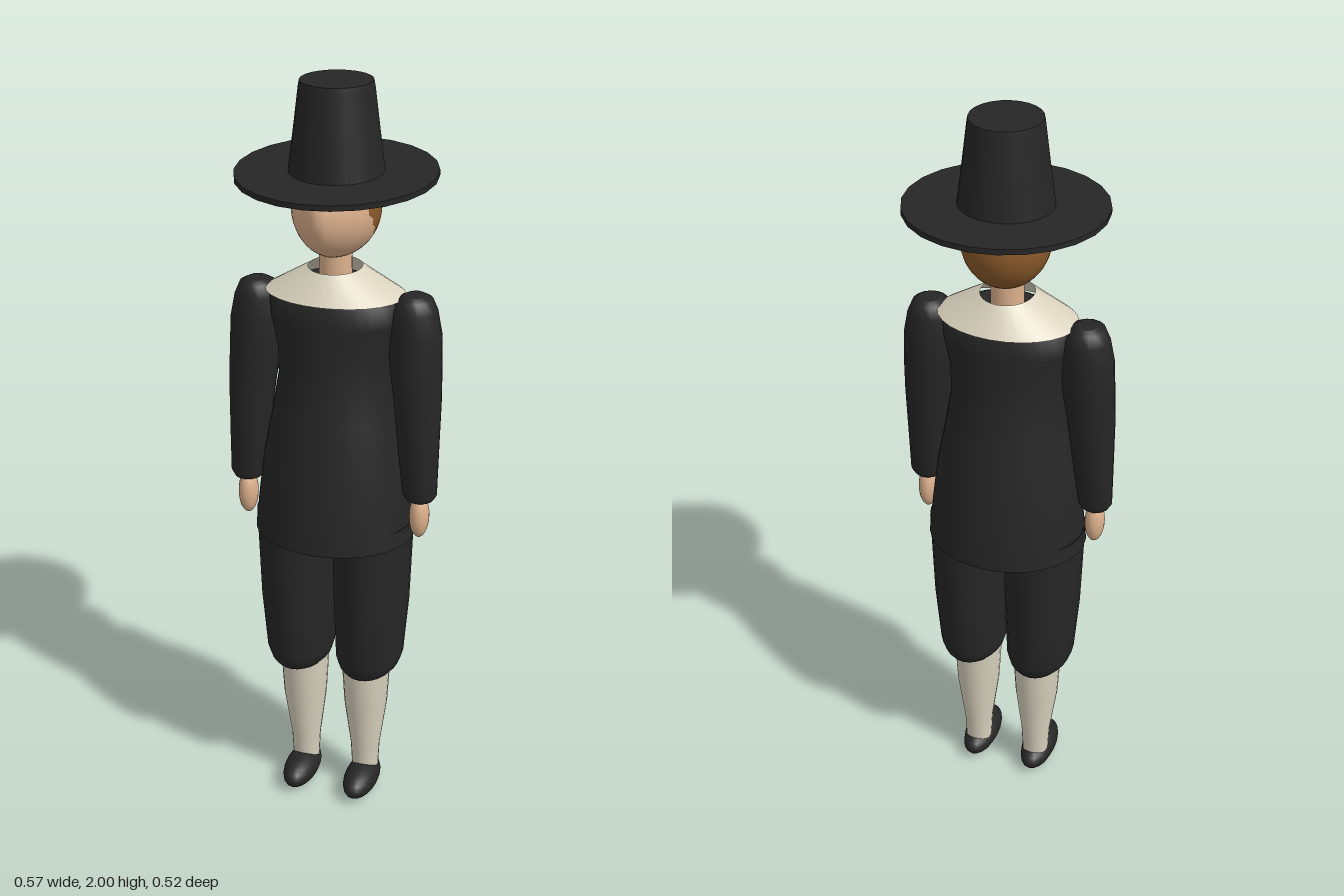
import * as THREE from 'three';

const material = (name, color, extra = {}) => {
  const m = new THREE.MeshStandardMaterial({ color, ...extra });
  m.name = name;
  return m;
};

// Stacks elliptical rings, bottom to top: [y, radiusX, radiusZ, centreX, centreZ]
function loft(rows, seg = 24, capped = true) {
  const pos = [], idx = [];
  const ring = ([y, rx, rz, cx = 0, cz = 0]) => {
    const start = pos.length / 3;
    for (let j = 0; j < seg; j++) {
      const a = (j / seg) * Math.PI * 2;
      pos.push(cx + Math.sin(a) * rx, y, cz + Math.cos(a) * rz);
    }
    return start;
  };
  const starts = rows.map(ring);
  for (let i = 0; i < rows.length - 1; i++) {
    for (let j = 0; j < seg; j++) {
      const k = (j + 1) % seg;
      const a = starts[i] + j, b = starts[i] + k, c = starts[i + 1] + j, d = starts[i + 1] + k;
      idx.push(a, b, c, b, d, c);
    }
  }
  // End caps get their own vertices so their edges stay sharp
  if (capped) {
    [[rows[0], false], [rows[rows.length - 1], true]].forEach(([row, up]) => {
      const s = ring(row);
      const centre = pos.length / 3;
      pos.push(row[3] || 0, row[0], row[4] || 0);
      for (let j = 0; j < seg; j++) {
        const k = (j + 1) % seg;
        if (up) idx.push(centre, s + j, s + k);
        else idx.push(centre, s + k, s + j);
      }
    });
  }
  const g = new THREE.BufferGeometry();
  g.setAttribute('position', new THREE.Float32BufferAttribute(pos, 3));
  g.setIndex(idx);
  g.computeVertexNormals();
  return g;
}

// Egg-shaped head with a ridge down the face; faces behind the hairline use the hair material
function headGeometry() {
  const g = new THREE.SphereGeometry(1, 40, 28);
  g.scale(0.112, 0.127, 0.118);
  g.translate(0, 1.688, 0);
  const p = g.attributes.position;
  for (let i = 0; i < p.count; i++) {
    const z = p.getZ(i);
    if (z > 0) p.setZ(i, z * (1 + 0.31 * (1 - Math.abs(p.getX(i)) / 0.112)));
  }
  const skin = [], hair = [], src = g.index.array;
  for (let i = 0; i < src.length; i += 3) {
    const t = [src[i], src[i + 1], src[i + 2]];
    const y = t.reduce((s, v) => s + p.getY(v), 0) / 3;
    const z = t.reduce((s, v) => s + p.getZ(v), 0) / 3;
    const hairline = 0.055 - 5.5 * Math.max(0, 1.72 - y) ** 2;
    (z < hairline ? hair : skin).push(...t);
  }
  g.setIndex([...skin, ...hair]);
  g.addGroup(0, skin.length, 0);
  g.addGroup(skin.length, hair.length, 1);
  g.computeVertexNormals();
  return g;
}

export function createModel() {
  const model = new THREE.Group();
  model.name = 'figure';
  const black = material('black cloth', 0x262626);
  const cream = material('cream linen', 0xd9d2be, { side: THREE.DoubleSide });
  const skin = material('skin', 0xdcb08c);
  const hair = material('brown hair', 0x8b5a2b);
  const add = (name, geometry, mat, parent = model) => {
    const mesh = new THREE.Mesh(geometry, mat);
    mesh.name = name;
    parent.add(mesh);
    return mesh;
  };
  const ellipsoid = (rx, ry, rz, x, y, z) =>
    new THREE.SphereGeometry(1, 20, 14).scale(rx, ry, rz).translate(x, y, z);

  // Hat
  add('hatCrown', loft([
    [1.765, 0.121, 0.121], [1.88, 0.106, 0.106], [1.985, 0.093, 0.094], [2.0, 0.09, 0.092],
  ]), black);
  const brim = add('hatBrim', loft([[-0.007, 0.252, 0.26], [0.007, 0.252, 0.26]]), black);
  brim.position.y = 1.771;
  brim.rotation.x = 0.04;

  // Head and neck
  add('head', headGeometry(), [skin, hair]);
  add('neck', loft([[1.48, 0.043, 0.041, 0, 0.008], [1.62, 0.041, 0.04, 0, 0.008]]), skin);

  // Open sloping collar
  add('collar', loft([[1.468, 0.182, 0.132, 0, 0.01], [1.535, 0.068, 0.075, 0, 0.01]], 28, false), cream);

  // Coat, narrow at the waist and flared to the hem
  add('coat', loft([
    [0.805, 0.213, 0.185, 0, 0.011], [0.9, 0.203, 0.177, 0, 0.011],
    [1.02, 0.188, 0.161, 0, 0.011], [1.14, 0.165, 0.139, 0, 0.011],
    [1.24, 0.148, 0.121, 0, 0.011], [1.32, 0.15, 0.117, 0, 0.011],
    [1.4, 0.168, 0.117, 0, 0.011], [1.455, 0.172, 0.113, 0, 0.011],
    [1.49, 0.115, 0.088, 0, 0.011], [1.505, 0.08, 0.065, 0, 0.011],
  ], 32), black);

  for (const [side, s] of [['left', 1], ['right', -1]]) {
    // Sleeve and hand
    const arm = new THREE.Group();
    arm.name = side + 'Arm';
    model.add(arm);
    add(side + 'Sleeve', loft([
      [0.93, 0.036, 0.034, s * 0.236, 0.032], [0.945, 0.045, 0.041, s * 0.236, 0.031],
      [1.05, 0.052, 0.05, s * 0.23, 0.027], [1.2, 0.062, 0.058, s * 0.222, 0.02],
      [1.3, 0.068, 0.061, s * 0.214, 0.014], [1.38, 0.066, 0.063, s * 0.212, 0.012],
      [1.44, 0.058, 0.059, s * 0.208, 0.011], [1.47, 0.045, 0.048, s * 0.208, 0.011],
      [1.48, 0.026, 0.03, s * 0.208, 0.011],
    ], 16), black, arm);
    add(side + 'Hand', ellipsoid(0.026, 0.062, 0.032, s * 0.236, 0.882, 0.033), skin, arm);

    // Breeches, stocking and shoe
    const leg = new THREE.Group();
    leg.name = side + 'Leg';
    model.add(leg);
    add(side + 'Breeches', loft([
      [0.39, 0.067, 0.094, s * 0.097, 0.01], [0.405, 0.08, 0.106, s * 0.097, 0.01],
      [0.435, 0.09, 0.114, s * 0.098, 0.01], [0.6, 0.1, 0.124, s * 0.102, 0.01],
      [0.85, 0.107, 0.13, s * 0.104, 0.01],
    ]), black, leg);
    add(side + 'Stocking', loft([
      [0.05, 0.036, 0.038, s * 0.087, 0.008], [0.13, 0.04, 0.043, s * 0.087, 0.008],
      [0.27, 0.059, 0.061, s * 0.088, 0.01], [0.41, 0.067, 0.07, s * 0.088, 0.01],
    ], 20), cream, leg);
    const shoe = ellipsoid(0.046, 0.042, 0.1, s * 0.088, 0.038, 0.042);
    // Flatten the sole and lower the heel
    const p = shoe.attributes.position;
    for (let i = 0; i < p.count; i++) {
      const y = p.getY(i) - (p.getZ(i) < 0 ? 0.004 : 0);
      p.setY(i, Math.max(0, y));
    }
    shoe.computeVertexNormals();
    add(side + 'Shoe', shoe, black, leg);
  }
  return model;
}
